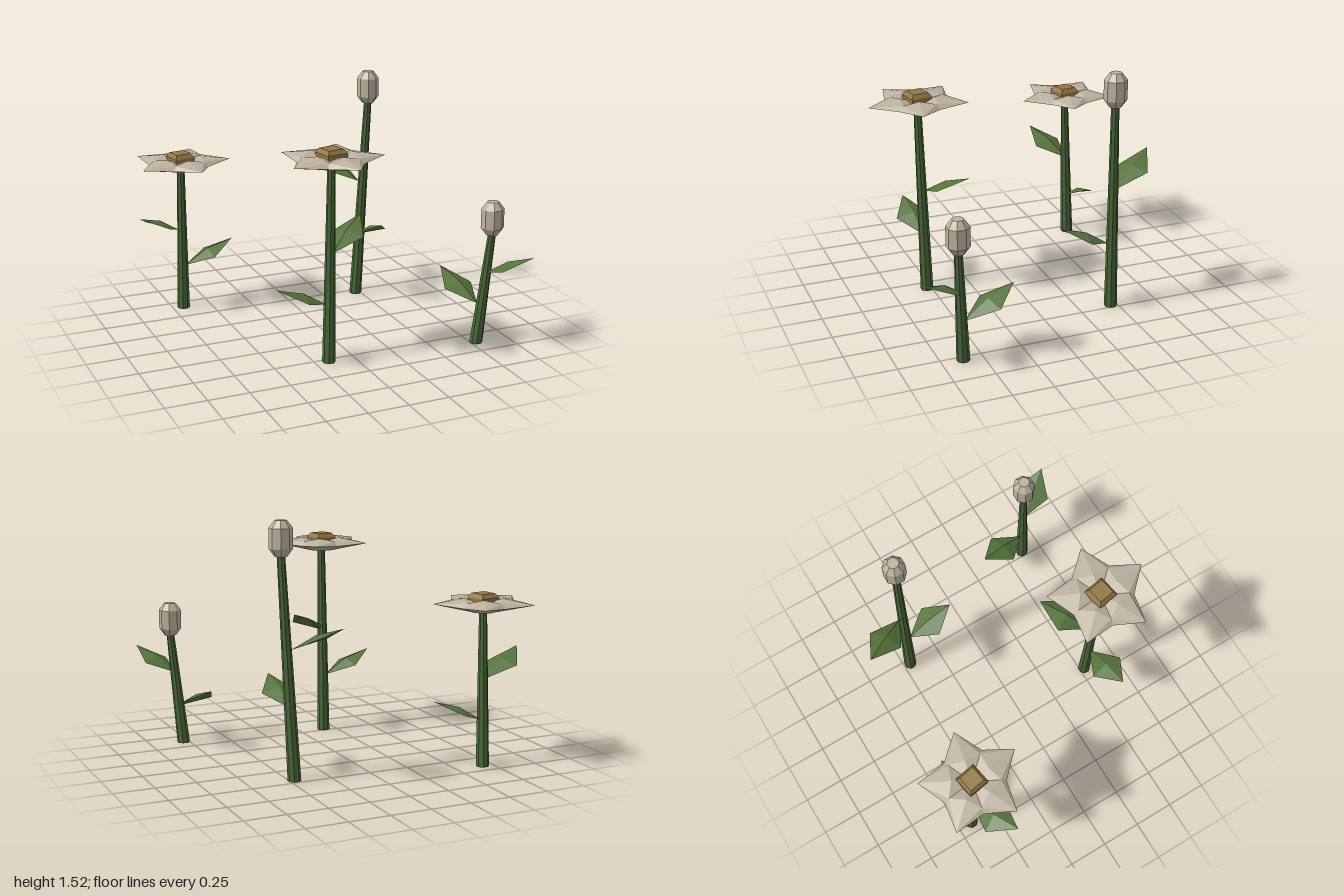
import * as THREE from 'three';

const mat = (color, side = THREE.FrontSide) =>
  new THREE.MeshStandardMaterial({ color, flatShading: true, side });
const stemMat = mat(0x4a6838);
const leafMat = mat(0x55733a, THREE.DoubleSide);
const petalMat = mat(0xbdb29f);
const centreMat = mat(0x927742);

function mesh(name, geometry, material) {
  const m = new THREE.Mesh(geometry, material);
  m.name = name;
  return m;
}

function fromTriangles(points) {
  const g = new THREE.BufferGeometry().setFromPoints(points);
  g.computeVertexNormals();
  return g;
}

// Tapered eight-sided stem, sheared so both ends stay level
function makeStem(base, top) {
  const h = top.y - base.y;
  const g = new THREE.CylinderGeometry(0.024, 0.04, h, 8).rotateY(Math.PI / 8);
  const p = g.attributes.position;
  for (let i = 0; i < p.count; i++) {
    const t = p.getY(i) / h + 0.5;
    p.setXYZ(i, p.getX(i) + THREE.MathUtils.lerp(base.x, top.x, t), base.y + t * h,
      p.getZ(i) + THREE.MathUtils.lerp(base.z, top.z, t));
  }
  g.computeVertexNormals();
  return mesh('stem', g, stemMat);
}

// Diamond leaf folded along a raised midrib
function makeLeaf(base, tip) {
  const dir = tip.clone().sub(base).normalize();
  const side = dir.clone().cross(new THREE.Vector3(0, 1, 0)).normalize();
  const up = side.clone().cross(dir);
  const mid = base.clone().lerp(tip, 0.5);
  const rib = mid.clone().addScaledVector(up, 0.025);
  const edge = (s) => mid.clone().addScaledVector(side, s * 0.108).addScaledVector(up, -0.01);
  const r = edge(1), l = edge(-1);
  return mesh('leaf', fromTriangles([base, r, rib, r, tip, rib, base, rib, l, l, rib, tip]), leafMat);
}

// Five-pointed bloom: closed loops of ten points running from underside to dished top
function makePetals() {
  // [radius, height] at petal tips, then between petals
  const rings = [
    [[0, 0], [0, 0]],
    [[0.08, 0], [0.08, 0]],
    [[0.315, 0.055], [0.2, 0.04]],
    [[0.12, 0.085], [0.168, 0.068]],
    [[0, 0.045], [0, 0.045]],
  ];
  const at = (k, j) => {
    const [r, y] = rings[k][j % 2];
    const a = THREE.MathUtils.degToRad(83 + 36 * j);
    return new THREE.Vector3(r * Math.cos(a), y, r * Math.sin(a));
  };
  const pts = [];
  for (let k = 0; k < 4; k++) {
    for (let j = 0; j < 10; j++) {
      const a = at(k, j), b = at(k, j + 1), c = at(k + 1, j + 1), d = at(k + 1, j);
      if (k === 0) pts.push(a, d, c);
      else if (k === 3) pts.push(a, d, b);
      else if (j % 2 === 0) pts.push(a, d, c, a, c, b);
      else pts.push(a, d, b, b, d, c);
    }
  }
  return mesh('petals', fromTriangles(pts), petalMat);
}

// Bevelled square flower centre
function makeCentre() {
  const profile = [[0, 0.03], [0.07, 0.03], [0.094, 0.055], [0.094, 0.085], [0.07, 0.11], [0, 0.11]];
  const g = new THREE.LatheGeometry(profile.map(([x, y]) => new THREE.Vector2(x, y)), 4);
  g.rotateY(THREE.MathUtils.degToRad(55));
  return mesh('flowerCentre', g, centreMat);
}

// Closed eight-sided bud
function makeBud() {
  const profile = [[0, 0], [0.036, 0], [0.069, 0.045], [0.069, 0.163], [0.036, 0.207], [0, 0.207]];
  const g = new THREE.LatheGeometry(profile.map(([x, y]) => new THREE.Vector2(x, y)), 8);
  return mesh('bud', g.rotateY(Math.PI / 8), petalMat);
}

const plants = [
  { name: 'shortFlower', base: [-0.68, 0, -0.66], top: [-0.68, 0.95, -0.63], open: true,
    leaves: [[[-0.7, 0.54, -0.65], [-1, 0.69, -0.51]], [[-0.66, 0.29, -0.66], [-0.335, 0.435, -0.66]]] },
  { name: 'tallFlower', base: [-0.165, 0, 0.53], top: [-0.165, 1.21, 0.56], open: true,
    leaves: [[[-0.145, 0.68, 0.54], [0.125, 0.83, 0.335]], [[-0.185, 0.37, 0.54], [-0.51, 0.515, 0.57]]] },
  { name: 'tallBud', base: [0.47, 0, -0.455], top: [0.53, 1.32, -0.42],
    leaves: [[[0.49, 0.78, -0.46], [0.293, 0.94, -0.76]], [[0.48, 0.43, -0.42], [0.49, 0.575, -0.11]]] },
  { name: 'shortBud', base: [0.785, 0, 0.62], top: [0.845, 0.705, 0.66],
    leaves: [[[0.79, 0.25, 0.61], [0.71, 0.4, 0.28]], [[0.815, 0.455, 0.645], [1, 0.605, 0.895]]] },
];

export function createModel() {
  const model = new THREE.Group();
  model.name = 'flowers';
  for (const { name, base, top, open, leaves } of plants) {
    const plant = new THREE.Group();
    plant.name = name;
    const tip = new THREE.Vector3(...top);
    plant.add(makeStem(new THREE.Vector3(...base), tip));
    for (const [a, b] of leaves) plant.add(makeLeaf(new THREE.Vector3(...a), new THREE.Vector3(...b)));
    const head = new THREE.Group();
    head.name = open ? 'bloom' : 'budHead';
    head.position.copy(tip).y -= 0.005;
    if (open) head.add(makePetals(), makeCentre());
    else head.add(makeBud());
    plant.add(head);
    model.add(plant);
  }
  return model;
}
